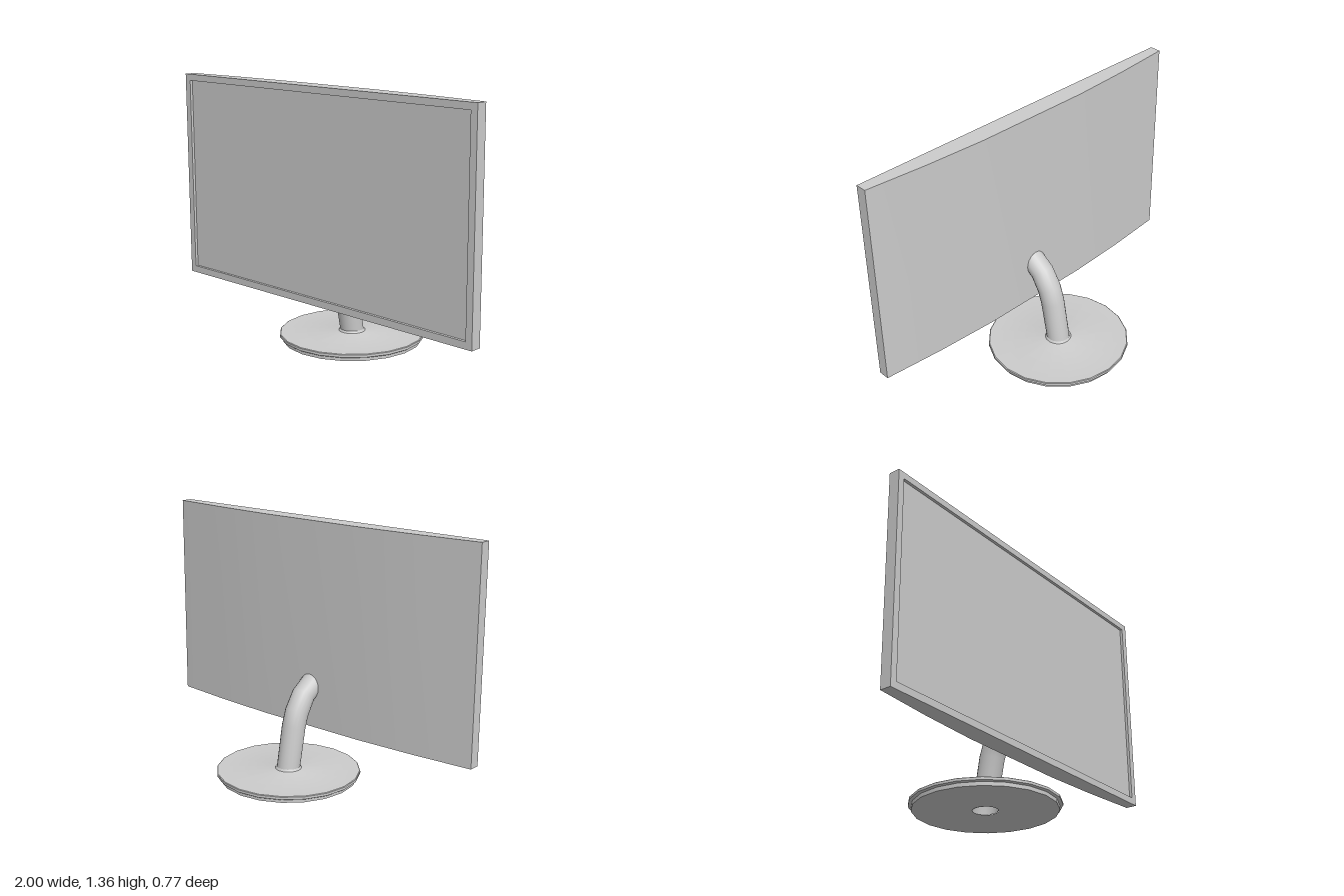
import * as THREE from 'three';
import { toCreasedNormals, mergeVertices } from 'three/addons/utils/BufferGeometryUtils.js';

const SIDES = 20;
const BOTTOM = 0.235, TOP = 1.36; // screen height range
const FRONT = 0.275, RECESS = 0.015;

const grey = new THREE.MeshStandardMaterial({ color: 0xcccccc });
const greyDouble = new THREE.MeshStandardMaterial({ color: 0xcccccc, side: THREE.DoubleSide });

function addPart(group, name, geometry, material = grey) {
  const mesh = new THREE.Mesh(geometry, material);
  mesh.name = name;
  group.add(mesh);
}

function rectangle(target, x, y0, y1) {
  target.moveTo(-x, y0);
  target.lineTo(x, y0);
  target.lineTo(x, y1);
  target.lineTo(-x, y1);
  target.closePath();
  return target;
}

// Screen housing: plan outline with a gently bowed back, extruded upwards
function housingGeometry() {
  const half = [[0.33, 0.17], [0.67, 0.187], [1, 0.215], [1, FRONT - RECESS]];
  const mirrored = half.map(([x, z]) => [-x, z]).reverse();
  const plan = new THREE.Shape([...half, ...mirrored].map(([x, z]) => new THREE.Vector2(x, -z)));
  const geometry = new THREE.ExtrudeGeometry(plan, { depth: TOP - BOTTOM, bevelEnabled: false });
  geometry.rotateX(-Math.PI / 2).translate(0, BOTTOM, 0);
  return toCreasedNormals(geometry, 0.4);
}

// Thin raised frame around the display
function bezelGeometry() {
  const frame = rectangle(new THREE.Shape(), 1, BOTTOM, TOP);
  frame.holes.push(rectangle(new THREE.Path(), 0.963, 0.272, 1.325));
  const geometry = new THREE.ExtrudeGeometry(frame, { depth: RECESS, bevelEnabled: false });
  return geometry.translate(0, 0, FRONT - RECESS);
}

// Round base: two stacked discs with a centre hole and a fillet up to the neck
function baseGeometry() {
  const profile = [
    [0.066, 0], [0.37, 0], [0.37, 0.02], [0.38, 0.02], [0.386, 0.024],
    [0.386, 0.037], [0.382, 0.04], [0.082, 0.04], [0.071, 0.044], [0.064, 0.055],
  ].map(([r, y]) => new THREE.Vector2(r, y));
  return toCreasedNormals(new THREE.LatheGeometry(profile, SIDES), 0.5);
}

// Hollow neck: each ring spans a back point and a front point, given as [z, y]
function neckGeometry() {
  const rings = [
    [[-0.066, 0], [0.066, 0]],
    [[-0.06, 0.055], [0.064, 0.055]],
    [[-0.02, 0.28], [0.105, 0.25]],
    [[0.01, 0.37], [0.125, 0.31]],
    [[0.075, 0.465], [0.17, 0.385]],
    [[0.19, 0.543], [0.225, 0.425]],
  ];
  const rows = rings.length - 1;
  let geometry = new THREE.CylinderGeometry(1, 1, 1, SIDES, rows, true);
  const p = geometry.attributes.position;
  for (let i = 0; i < p.count; i++) {
    const [back, front] = rings[Math.round((p.getY(i) + 0.5) * rows)];
    const t = (1 + p.getZ(i)) / 2;
    p.setXYZ(i, p.getX(i) * 0.063,
      THREE.MathUtils.lerp(back[1], front[1], t),
      THREE.MathUtils.lerp(back[0], front[0], t));
  }
  geometry.deleteAttribute('uv');
  geometry.deleteAttribute('normal');
  geometry = mergeVertices(geometry);
  geometry.computeVertexNormals();
  return geometry;
}

export function createModel() {
  const monitor = new THREE.Group();
  monitor.name = 'monitor';

  const screen = new THREE.Group();
  screen.name = 'screen';
  addPart(screen, 'housing', housingGeometry());
  addPart(screen, 'bezel', bezelGeometry());

  const stand = new THREE.Group();
  stand.name = 'stand';
  addPart(stand, 'base', baseGeometry());
  addPart(stand, 'neck', neckGeometry(), greyDouble);

  monitor.add(screen, stand);
  return monitor;
}
